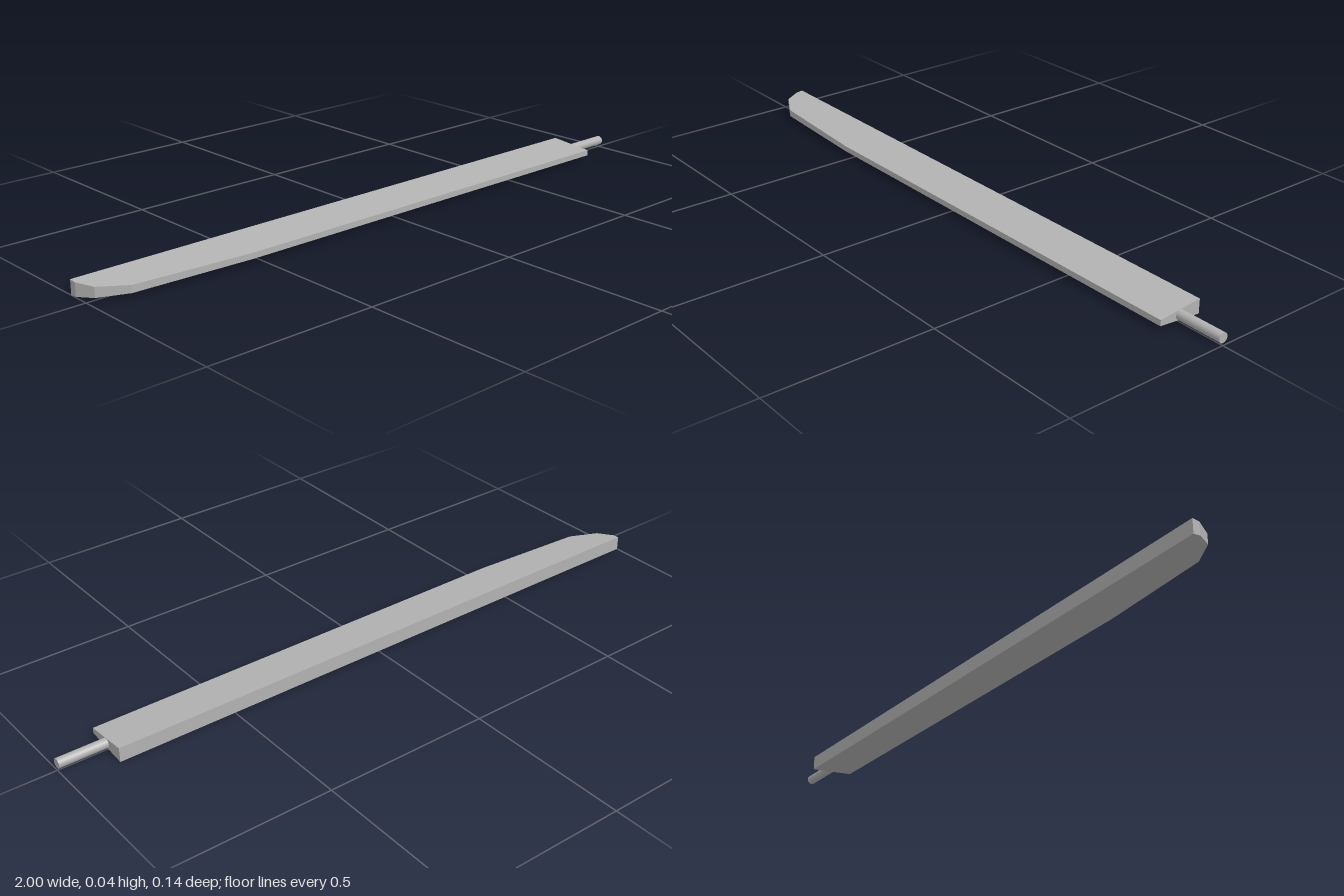
import * as THREE from 'three';

export function createModel() {
  const group = new THREE.Group();
  const grey = new THREE.MeshStandardMaterial({ color: 0xb2b2b2 });
  grey.name = 'grey';
  const midY = 0.0217;

  // Blade outline seen from above, as [x, z]
  const outline = [
    [0.856, 0.069], [0.856, -0.069], [-1, -0.069], [-1, -0.047],
    [-0.975, 0.002], [-0.895, 0.046], [-0.53, 0.069],
  ];
  const shape = new THREE.Shape(outline.map(([x, z]) => new THREE.Vector2(x, -z)));
  const blade = new THREE.ExtrudeGeometry(shape, { depth: 1, bevelEnabled: false });
  blade.rotateX(-Math.PI / 2);

  // Taper the thickness from the back edge to the thin front edge
  const p = blade.attributes.position;
  for (let i = 0; i < p.count; i++) {
    const t = (p.getZ(i) + 0.069) / 0.138;
    const thickness = THREE.MathUtils.lerp(0.0434, 0.0175, t);
    p.setY(i, midY + (p.getY(i) - 0.5) * thickness);
  }
  blade.computeVertexNormals();
  const bladeMesh = new THREE.Mesh(blade, grey);
  bladeMesh.name = 'blade';
  group.add(bladeMesh);

  // Round mounting pin at the root
  const pin = new THREE.Mesh(new THREE.CylinderGeometry(0.0145, 0.0145, 0.144, 32), grey);
  pin.name = 'mountingPin';
  pin.rotation.z = Math.PI / 2;
  pin.position.set(0.928, midY, 0);
  group.add(pin);

  return group;
}
